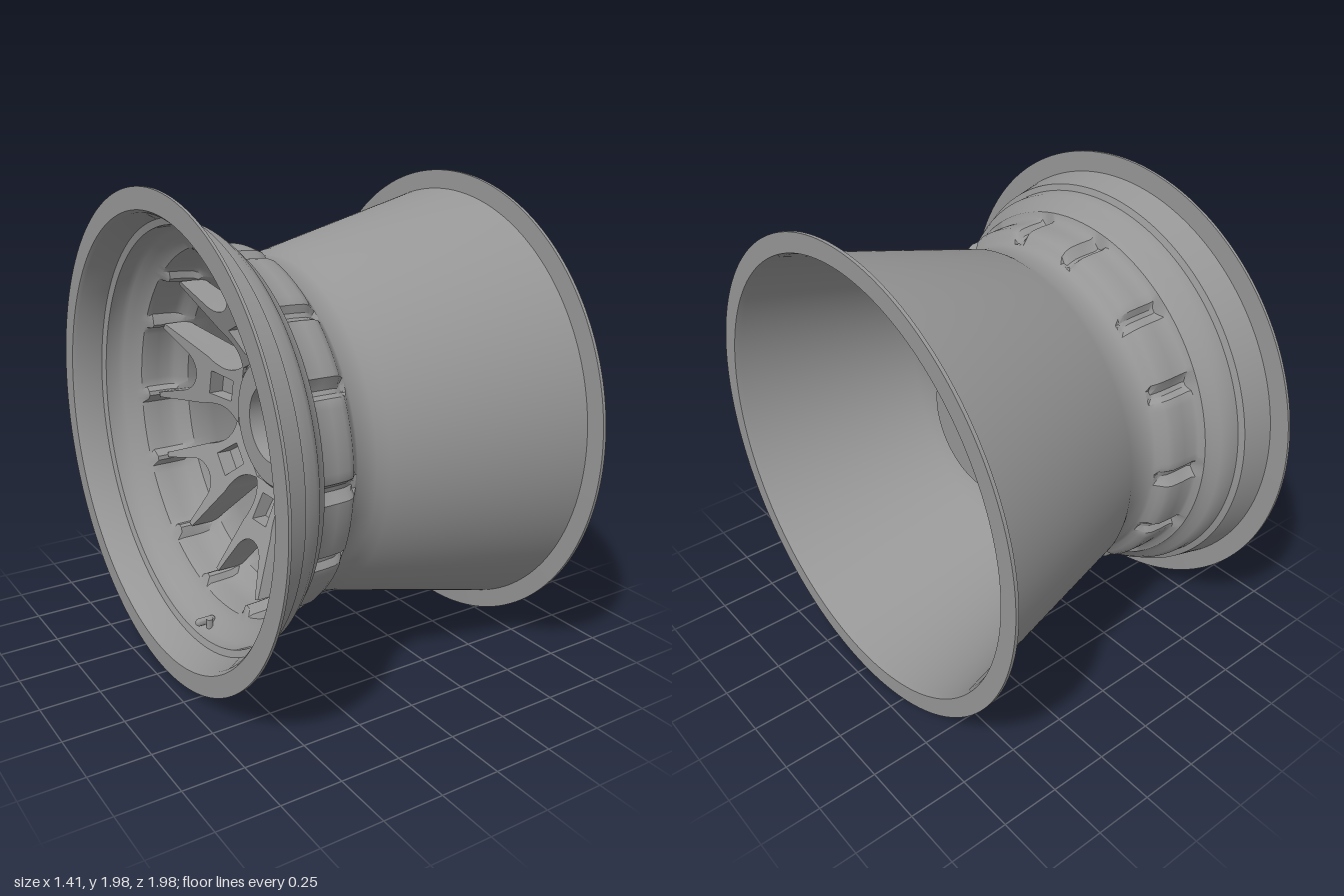
import * as THREE from 'three';
import { toCreasedNormals } from 'three/addons/utils/BufferGeometryUtils.js';

const SPOKES = 7;
const STEP = (Math.PI * 2) / SPOKES;
const TIP_ANGLE = THREE.MathUtils.degToRad(14); // fork tips either side of a spoke's centre line
const material = new THREE.MeshStandardMaterial({ color: 0x969696 });

function addMesh(parent, geometry, name, crease = 0.6) {
  const mesh = new THREE.Mesh(toCreasedNormals(geometry, crease), material);
  mesh.name = name;
  parent.add(mesh);
  return mesh;
}

// Revolve [x, radius] points about the x axis
function revolve(points, segments) {
  const profile = points.map(([x, r]) => new THREE.Vector2(r, x));
  return new THREE.LatheGeometry(profile, segments).rotateZ(-Math.PI / 2);
}

// Thin shell: outer skin from narrow lip to wide lip, inner skin back again
function rimGeometry() {
  const outer = [
    [-0.705, 0.905], [-0.705, 0.99], [-0.693, 0.99], [-0.691, 0.906],
    [-0.57, 0.878], [-0.56, 0.853], [-0.51, 0.847], [-0.485, 0.83], [-0.468, 0.805],
    [-0.44, 0.79], [-0.428, 0.765], [-0.415, 0.757], [-0.36, 0.756], [-0.31, 0.752],
    [-0.285, 0.742], [-0.268, 0.722], [-0.25, 0.702], [-0.235, 0.693],
    [-0.15, 0.692], [-0.105, 0.717], [0.688, 0.912], [0.691, 0.99], [0.705, 0.99], [0.705, 0.912],
  ];
  const inner = [
    [0.68, 0.902], [-0.105, 0.706], [-0.15, 0.684], [-0.235, 0.684], [-0.268, 0.708],
    [-0.285, 0.728], [-0.31, 0.739], [-0.36, 0.743], [-0.415, 0.745], [-0.435, 0.752],
    [-0.452, 0.78], [-0.475, 0.798], [-0.495, 0.82], [-0.515, 0.835], [-0.57, 0.841],
    [-0.58, 0.868], [-0.69, 0.893], [-0.705, 0.905],
  ];
  const geometry = revolve([...outer, ...inner], 252);

  // Press grooves into the raised band where the spoke tips meet it
  const pos = geometry.attributes.position;
  for (let i = 0; i < pos.count; i++) {
    const x = pos.getX(i), y = pos.getY(i), z = pos.getZ(i);
    if (x < -0.43 || x > -0.26) continue;
    const angle = Math.atan2(z, -y);
    const local = Math.abs(angle - Math.round(angle / STEP) * STEP);
    const offset = THREE.MathUtils.radToDeg(Math.abs(local - TIP_ANGLE));
    const depth = 0.034 * (1 - THREE.MathUtils.smoothstep(offset, 0.5, 3.2));
    const r = Math.hypot(y, z);
    const k = Math.max(r - depth, Math.min(r, 0.7)) / r;
    pos.setXYZ(i, x, y * k, z * k);
  }
  return geometry;
}

// Y-shaped outline in (sideways, radius)
function spokeShape() {
  const s = new THREE.Shape();
  s.moveTo(-0.14, 0.272);
  s.quadraticCurveTo(-0.092, 0.31, -0.09, 0.36);
  s.quadraticCurveTo(-0.092, 0.405, -0.116, 0.45);
  s.lineTo(-0.183, 0.677);
  s.lineTo(-0.161, 0.683);
  s.lineTo(-0.09, 0.545);
  s.quadraticCurveTo(-0.06, 0.5, 0, 0.498);
  s.quadraticCurveTo(0.06, 0.5, 0.09, 0.545);
  s.lineTo(0.161, 0.683);
  s.lineTo(0.183, 0.677);
  s.lineTo(0.116, 0.45);
  s.quadraticCurveTo(0.092, 0.405, 0.09, 0.36);
  s.quadraticCurveTo(0.092, 0.31, 0.14, 0.272);
  s.closePath();
  return s;
}

// Extrude one layer of a spoke; it leans outward and gets thinner toward the rim
function spokeLayer(shape, from, to) {
  const geometry = new THREE.ExtrudeGeometry(shape, { depth: 1, bevelEnabled: false, curveSegments: 6 });
  const pos = geometry.attributes.position;
  for (let i = 0; i < pos.count; i++) {
    const u = pos.getX(i), r = pos.getY(i);
    const t = (r - 0.28) / 0.4;
    const front = THREE.MathUtils.lerp(-0.19, -0.37, t);
    const back = THREE.MathUtils.lerp(0.03, -0.255, t);
    const w = THREE.MathUtils.lerp(from, to, pos.getZ(i));
    pos.setXYZ(i, THREE.MathUtils.lerp(front, back, w), r, -u);
  }
  return geometry;
}

export function createModel() {
  const wheel = new THREE.Group();
  wheel.name = 'wheelRim';
  const body = new THREE.Group();
  body.name = 'wheelBody';
  body.position.y = 0.994;
  wheel.add(body);

  addMesh(body, rimGeometry(), 'rimBarrel');

  // Hub ring with open bore
  addMesh(body, revolve([
    [-0.2, 0.165], [-0.2, 0.265], [-0.18, 0.29], [0.07, 0.295], [0.07, 0.165], [-0.2, 0.165],
  ], 64), 'hub');

  // Forked spokes: solid back layer, front layer with a pocket
  const frontShape = spokeShape();
  const pocket = new THREE.Path();
  pocket.moveTo(-0.05, 0.315);
  pocket.lineTo(0.05, 0.315);
  pocket.lineTo(0.055, 0.425);
  pocket.lineTo(-0.055, 0.425);
  pocket.closePath();
  frontShape.holes.push(pocket);
  const frontGeometry = spokeLayer(frontShape, 0, 0.35);
  const backGeometry = spokeLayer(spokeShape(), 0.35, 1);
  for (let i = 0; i < SPOKES; i++) {
    const spoke = new THREE.Group();
    spoke.name = `spoke${i + 1}`;
    spoke.rotation.x = Math.PI + i * STEP;
    addMesh(spoke, frontGeometry, 'spokeFront');
    addMesh(spoke, backGeometry, 'spokeBack');
    body.add(spoke);
  }

  // Valve: stem inside the lip, small stub through the barrel
  const stem = addMesh(body, new THREE.CapsuleGeometry(0.016, 0.06, 4, 12).rotateZ(Math.PI / 2), 'valveStem');
  stem.position.set(-0.52, -0.81, 0);
  const stub = addMesh(body, new THREE.CylinderGeometry(0.014, 0.014, 0.06, 12), 'valveStub');
  stub.position.set(-0.51, -0.825, 0.02);

  return wheel;
}
